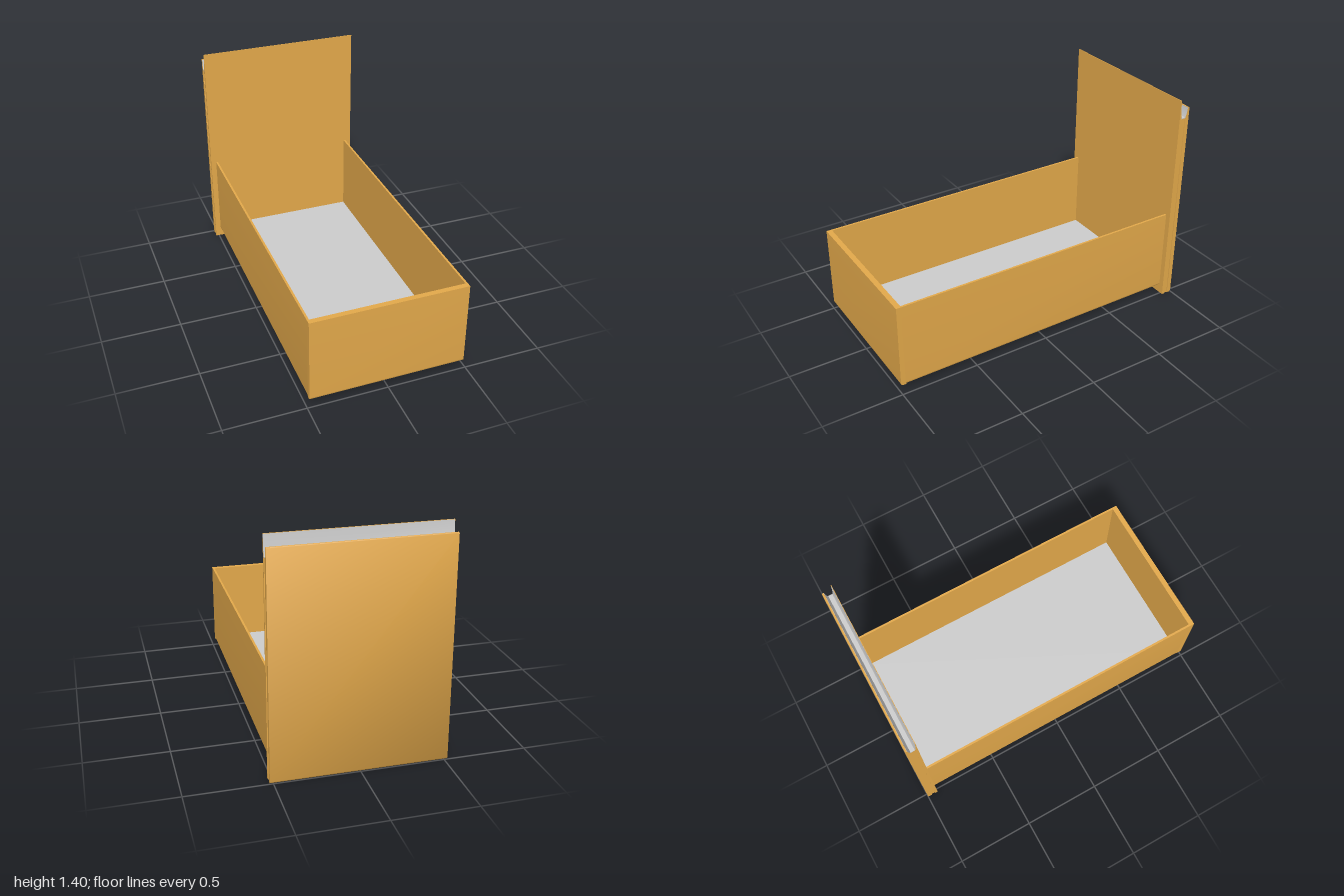
import * as THREE from 'three';
import { toCreasedNormals } from 'three/addons/utils/BufferGeometryUtils.js';

const wood = new THREE.MeshStandardMaterial({ color: 0xe2a84a });
const grey = new THREE.MeshStandardMaterial({ color: 0xcccccc });

// Extrudes a shape along +z with smooth curves and sharp corners
function extrude(shape, depth) {
  const g = new THREE.ExtrudeGeometry(shape, { depth, bevelEnabled: false, curveSegments: 6 });
  return toCreasedNormals(g, 0.7);
}

// Extrudes a (z, y) side profile across the width, centred on x = 0
function extrudeAcross(shape, width) {
  const g = extrude(shape, width);
  g.translate(0, 0, -width / 2);
  g.rotateY(-Math.PI / 2); // shape x becomes z
  return g;
}

function polygon(points) {
  return new THREE.Shape(points.map(([a, b]) => new THREE.Vector2(a, b)));
}

export function createModel() {
  const group = new THREE.Group();
  const add = (name, geometry, material, x = 0, y = 0, z = 0) => {
    const mesh = new THREE.Mesh(geometry, material);
    mesh.name = name;
    mesh.position.set(x, y, z);
    group.add(mesh);
    return mesh;
  };

  const W = 0.485, T = 0.013, BOTTOM = 0.055, FLOOR = 0.08, TOP = 0.6, R = 0.016;

  // Tray: U-shaped section with softened lower edges
  const tray = new THREE.Shape();
  tray.moveTo(-W, TOP);
  tray.lineTo(-W, BOTTOM + R);
  tray.quadraticCurveTo(-W, BOTTOM, -W + R, BOTTOM);
  tray.lineTo(W - R, BOTTOM);
  tray.quadraticCurveTo(W, BOTTOM, W, BOTTOM + R);
  tray.lineTo(W, TOP);
  tray.lineTo(W - T, TOP);
  tray.lineTo(W - T, FLOOR - 0.004);
  tray.lineTo(-W + T, FLOOR - 0.004);
  tray.lineTo(-W + T, TOP);
  tray.closePath();
  add('drawerTray', extrude(tray, 1.905), wood, 0, 0, -0.935);

  // End wall of the tray, softened at its lower outer edge
  const end = new THREE.Shape();
  end.moveTo(0.967, BOTTOM);
  end.lineTo(1 - R, BOTTOM);
  end.quadraticCurveTo(1, BOTTOM, 1, BOTTOM + R);
  end.lineTo(1, TOP);
  end.lineTo(0.967, TOP);
  end.closePath();
  add('endWall', extrudeAcross(end, W * 2), wood);

  // Grey floor liner
  add('floor', new THREE.BoxGeometry((W - T) * 2, 0.006, 1.9), grey, 0, FLOOR - 0.003, 0.02);

  // Tall panel: two skins around a slightly recessed core
  add('panelInnerSkin', extrudeAcross(polygon([
    [-0.93, 0], [-0.93, 1.405], [-0.933, 1.405], [-0.938, 1.32], [-0.945, 1.286], [-0.948, 0.0],
  ]), 1.04), wood);
  add('panelOuterSkin', extrudeAcross(polygon([
    [-1, 0.012], [-0.99, 0], [-0.972, 0], [-0.974, 1.286], [-0.982, 1.305], [-0.988, 1.35], [-0.997, 1.35], [-1, 1.345],
  ]), 1.04), wood);
  add('panelCore', new THREE.BoxGeometry(1.03, 1.28, 0.04), wood, 0, 0.64, -0.96);

  // Grey lining of the open channel along the panel top
  add('channelLining', extrudeAcross(polygon([
    [-0.9335, 1.403], [-0.9395, 1.32], [-0.947, 1.287], [-0.973, 1.287], [-0.981, 1.306], [-0.987, 1.349],
    [-0.9885, 1.349], [-0.984, 1.3], [-0.974, 1.281], [-0.946, 1.281], [-0.937, 1.32], [-0.932, 1.403],
  ]), 1.039), grey);

  return group;
}
